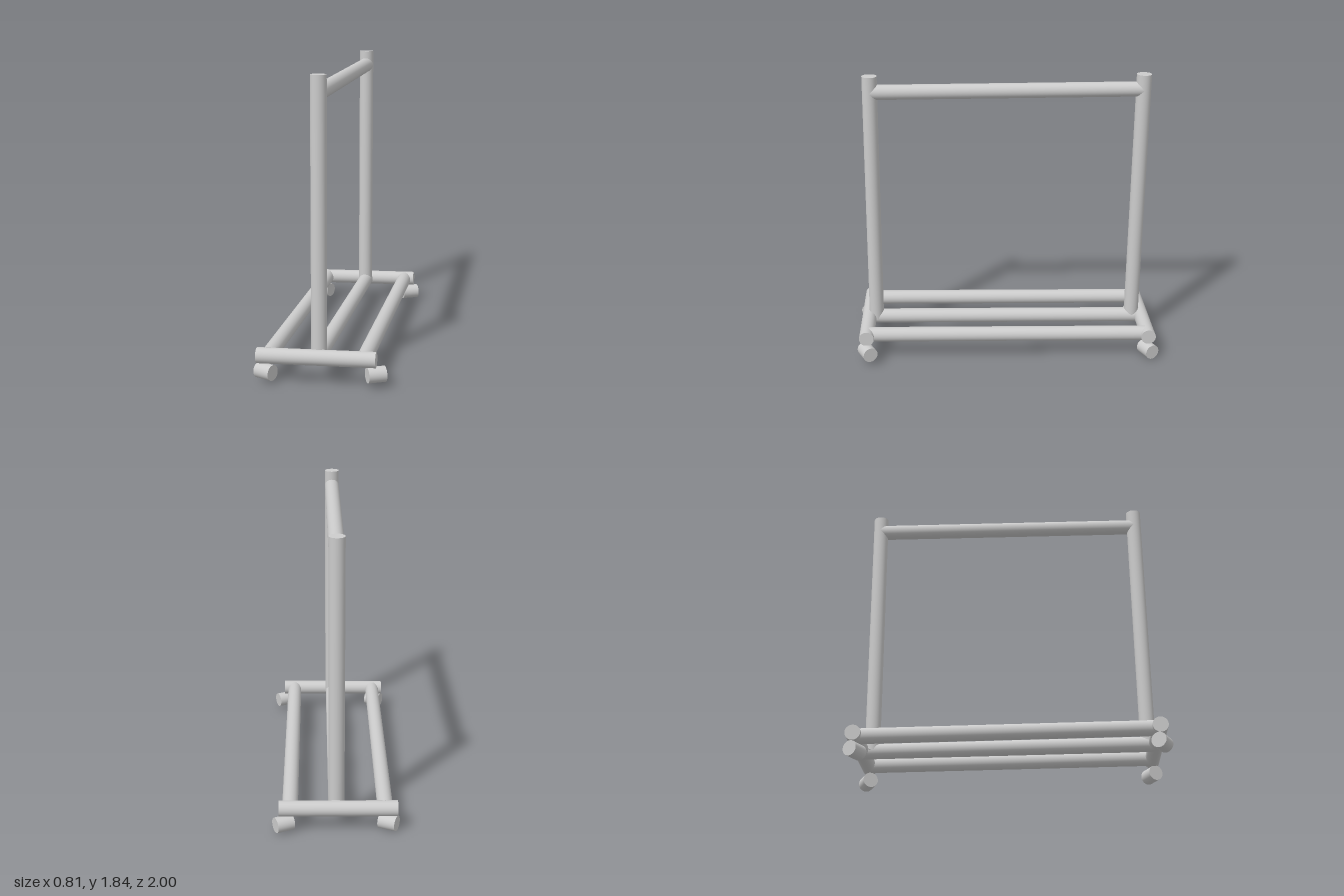
import * as THREE from 'three';

const R = 0.048;
const material = new THREE.MeshStandardMaterial({ color: 0xcccccc });

// Capped round tube running from point a to point b
function tube(name, a, b) {
  const from = new THREE.Vector3(...a);
  const dir = new THREE.Vector3(...b).sub(from);
  const mesh = new THREE.Mesh(new THREE.CylinderGeometry(R, R, dir.length(), 32), material);
  mesh.name = name;
  mesh.position.copy(from).addScaledVector(dir, 0.5);
  mesh.quaternion.setFromUnitVectors(new THREE.Vector3(0, 1, 0), dir.normalize());
  return mesh;
}

export function createModel() {
  const rack = new THREE.Group();
  rack.name = 'clothesRack';

  // Uprights and hanging rail
  rack.add(
    tube('frontPost', [-0.017, 0.16, 0.876], [-0.017, 1.835, 0.858]),
    tube('backPost', [-0.017, 0.15, -0.853], [-0.017, 1.835, -0.874]),
    tube('hangingRail', [-0.017, 1.73, 0.858], [-0.017, 1.738, -0.873])
  );

  // Foot bars across both ends
  rack.add(
    tube('frontFoot', [-0.386, 0.16, 0.93], [0.334, 0.17, 0.92]),
    tube('backFoot', [-0.386, 0.145, -0.915], [0.334, 0.155, -0.925])
  );

  // Three long base rails joining the feet
  for (const [x, y] of [[-0.313, 0.161], [-0.017, 0.165], [0.263, 0.168]]) {
    rack.add(tube('baseRail', [x - 0.003, y, 0.91], [x + 0.003, y - 0.015, -0.91]));
  }

  // Angled casters: centre position and turn of the axle in the ground plane
  const casters = [
    ['frontLeftCaster', 0.333, 0.079, 0.916, -0.43],
    ['backLeftCaster', 0.305, 0.054, -0.927, -0.43],
    ['frontRightCaster', -0.332, 0.065, 0.938, 0.43],
    ['backRightCaster', -0.332, 0.048, -0.905, 0.43]
  ];
  for (const [name, x, y, z, turn] of casters) {
    const dx = 0.9 * 0.055, dz = turn * 0.055;
    rack.add(tube(name, [x - dx, y, z - dz], [x + dx, y, z + dz]));
  }
  return rack;
}
